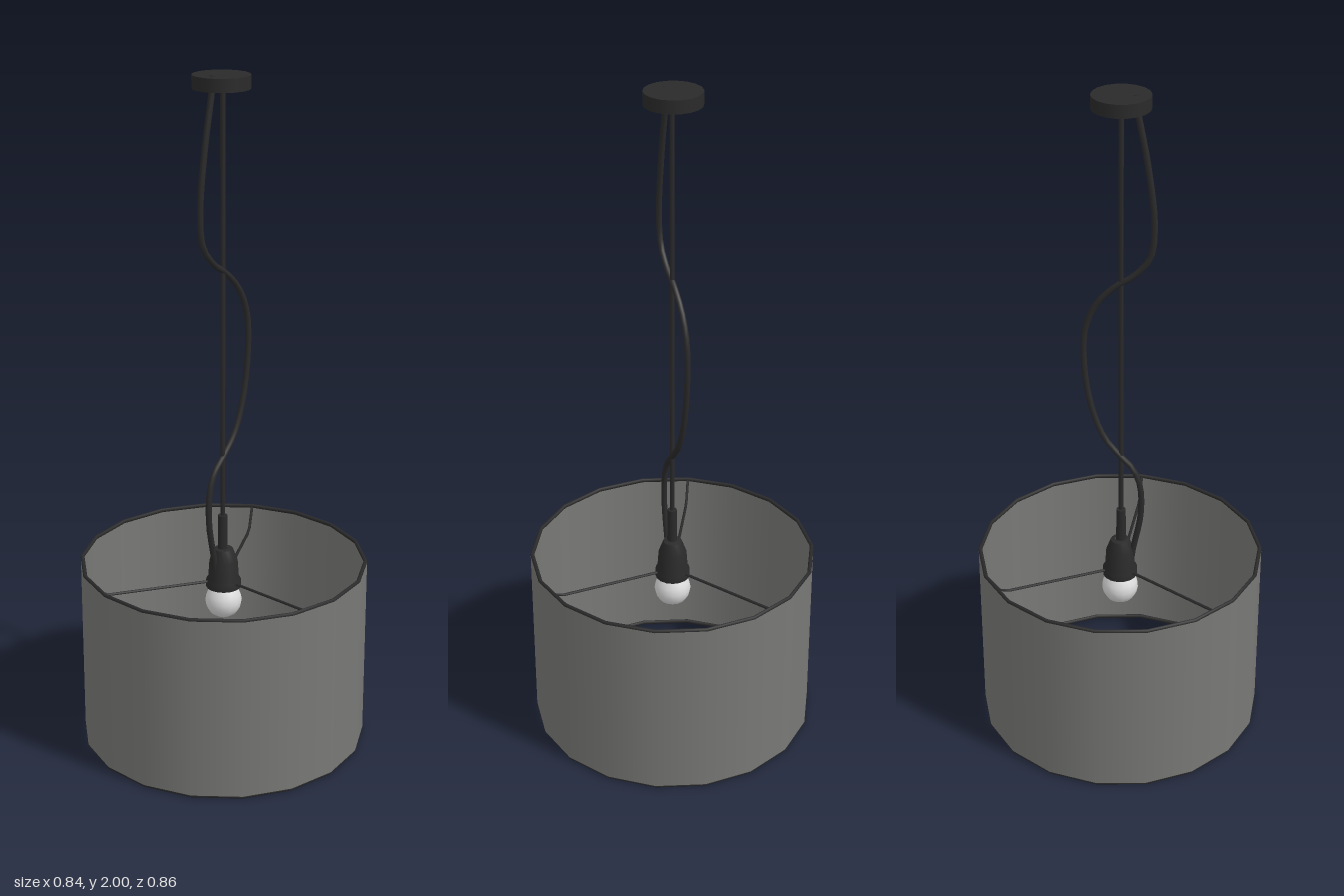
import * as THREE from 'three';

const dark = new THREE.MeshStandardMaterial({ name: 'black metal', color: 0x2a2a2b });
const fabric = new THREE.MeshStandardMaterial({ name: 'grey fabric', color: 0x787876, side: THREE.DoubleSide });
const glass = new THREE.MeshStandardMaterial({ name: 'white glass', color: 0xdcdcdc });

const SIDES = 18, RADIUS = 0.427, TOP = 0.562, BOTTOM = 0.006;
const v = (x, y, z = 0) => new THREE.Vector3(x, y, z);

export function createModel() {
  const model = new THREE.Group();
  model.name = 'pendantLamp';
  const add = (name, geometry, material, x = 0, y = 0, z = 0) => {
    const mesh = new THREE.Mesh(geometry, material);
    mesh.name = name;
    mesh.position.set(x, y, z);
    model.add(mesh);
    return mesh;
  };
  const lathe = (points, sides) =>
    new THREE.LatheGeometry(points.map(p => new THREE.Vector2(...p)), sides);

  // Open drum shade with a wire ring at each edge
  add('shade', new THREE.CylinderGeometry(RADIUS, RADIUS, TOP - BOTTOM, SIDES, 1, true),
    fabric, 0, (TOP + BOTTOM) / 2);
  for (const [name, y] of [['topRing', TOP], ['bottomRing', BOTTOM]]) {
    const ring = new THREE.TorusGeometry(RADIUS - 0.005, 0.006, 6, SIDES);
    ring.rotateZ(Math.PI / 2).rotateX(Math.PI / 2);
    add(name, ring, dark, 0, y);
  }

  // Three spokes, each turned up to meet the top ring
  for (let i = 0; i < 3; i++) {
    const path = new THREE.CurvePath();
    const bend = v(0, 0.495, 0.375);
    path.add(new THREE.LineCurve3(v(0, 0.495, 0.03), bend));
    path.add(new THREE.LineCurve3(bend, v(0, TOP, 0.422)));
    const spoke = add('spoke', new THREE.TubeGeometry(path, 12, 0.0045, 6), dark);
    spoke.rotation.y = i * Math.PI * 2 / 3;
  }

  // Socket with sleeve, hanging rod and bulb
  add('socket', lathe([[0, 0.475], [0.052, 0.475], [0.052, 0.475], [0.052, 0.498],
    [0.046, 0.505], [0.042, 0.56], [0.028, 0.597], [0.028, 0.597], [0.014, 0.6]], 16), dark);
  add('sleeve', new THREE.CylinderGeometry(0.014, 0.015, 0.11, 12), dark, -0.003, 0.65);
  add('rod', new THREE.CylinderGeometry(0.007, 0.007, 1.28, 8), dark, -0.003, 1.335);
  add('bulb', lathe([[0, 0.375], [0.02, 0.379], [0.04, 0.392], [0.051, 0.41], [0.055, 0.43],
    [0.051, 0.45], [0.04, 0.47], [0.028, 0.485]], 16), glass);

  // Ceiling canopy
  add('canopy', new THREE.CylinderGeometry(0.082, 0.082, 0.038, SIDES), dark, -0.004, 1.979, -0.004);

  // Slack power cord winding round the rod
  const cord = new THREE.CatmullRomCurve3([
    [-0.042, 1.999], [-0.048, 1.95], [-0.076, 1.8], [-0.095, 1.63], [-0.084, 1.53], [-0.035, 1.47],
    [0.01, 1.44], [0.067, 1.38], [0.1, 1.3], [0.104, 1.18], [0.082, 1.04], [0.045, 0.945],
    [0, 0.89], [-0.037, 0.85], [-0.06, 0.79], [-0.062, 0.69], [-0.04, 0.57], [-0.036, 0.54],
  ].map(p => v(...p)));
  add('cord', new THREE.TubeGeometry(cord, 48, 0.009, 8), dark);

  return model;
}
